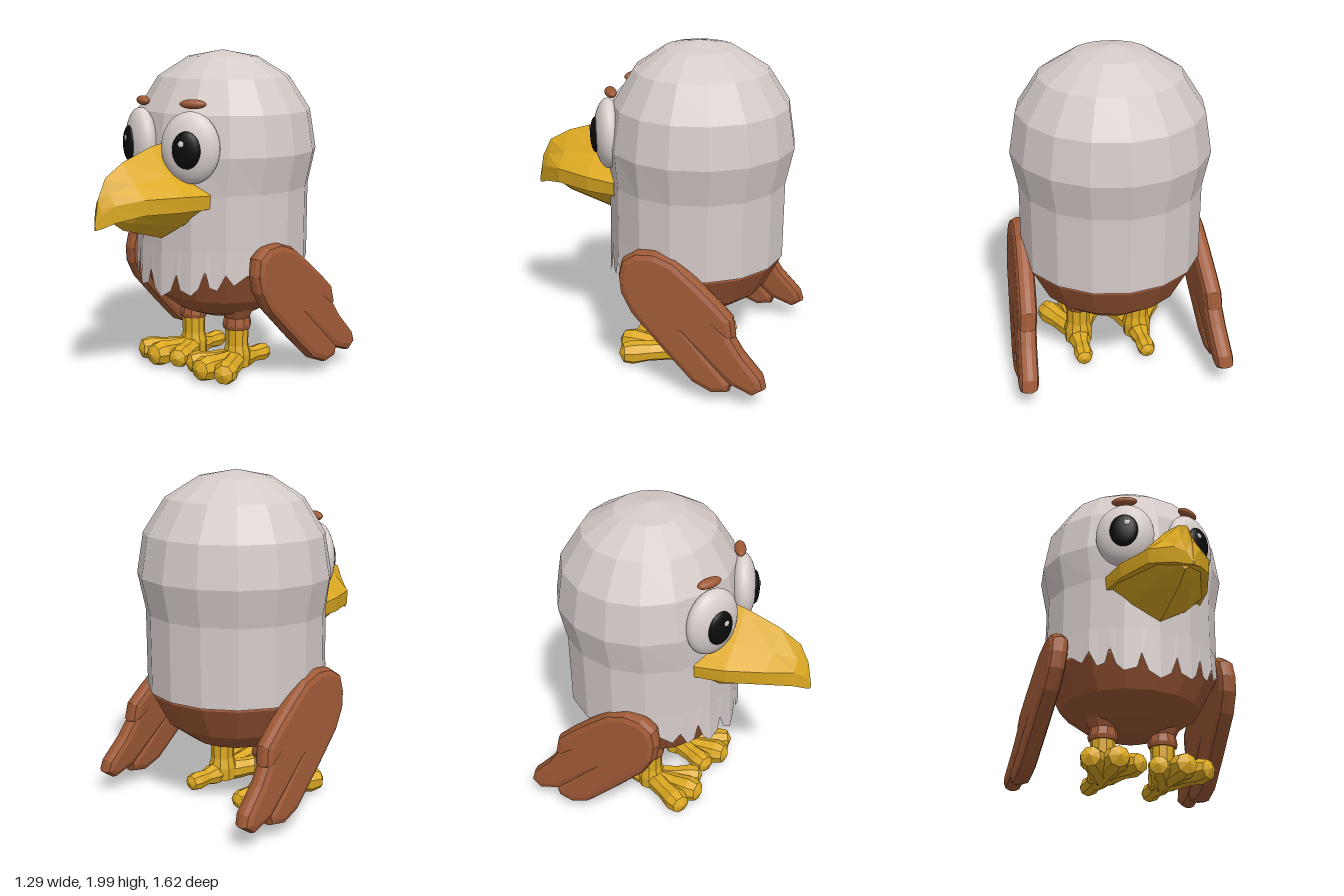
import * as THREE from 'three';

const mat = (name, color) => Object.assign(new THREE.MeshStandardMaterial({ color }), { name });

// Faceted copy of a geometry
function facet(geo) {
  const g = geo.index ? geo.toNonIndexed() : geo;
  g.computeVertexNormals();
  return g;
}

// Skin through equal rings (counter-clockwise seen from +z), capped at both ends
function loft(rings) {
  const n = rings[0].length, m = rings.length, index = [];
  for (let i = 0; i < m - 1; i++) for (let j = 0; j < n; j++) {
    const a = i * n + j, b = i * n + (j + 1) % n;
    index.push(a, b, b + n, a, b + n, a + n);
  }
  const e = (m - 1) * n;
  for (let j = 1; j < n - 1; j++) index.push(0, j + 1, j, e, e + j, e + j + 1);
  const g = new THREE.BufferGeometry();
  g.setAttribute('position', new THREE.Float32BufferAttribute(rings.flat(2), 3));
  g.setIndex(index);
  return facet(g);
}

const BODY_Z = -0.22;
const flatten = y => (y > 1.3 ? 0.9 : 0.96); // the face is a little flatter than the back

// Sixteen-sided turned body with the front flattened
function turned(profile) {
  const g = new THREE.LatheGeometry(profile.map(p => new THREE.Vector2(...p)), 16);
  const p = g.attributes.position;
  for (let i = 0; i < p.count; i++) {
    const z = p.getZ(i);
    p.setZ(i, (z > 0 ? z * flatten(p.getY(i)) : z) + BODY_Z);
  }
  return facet(g);
}

// Ragged feather edge following the front facets
function fringeGeometry() {
  const half = [[0, .54], [.07, .585], [.11, .69], [.135, .60], [.21, .575], [.25, .62], [.283, .73],
    [.305, .63], [.345, .615], [.387, .71], [.415, .645], [.46, .70], [.506, .70]];
  const keys = [...half.slice(1).reverse().map(([x, y]) => [-x, y]), ...half];
  const r = 0.548, step = Math.PI / 8;
  const zAt = x => {
    const k = Math.min(2, Math.floor(Math.asin(Math.min(1, Math.abs(x) / r)) / step + 1e-3));
    const a = k * step, b = a + step;
    const t = (Math.abs(x) / r - Math.sin(a)) / (Math.sin(b) - Math.sin(a));
    return BODY_Z + 0.96 * r * (Math.cos(a) + t * (Math.cos(b) - Math.cos(a)));
  };
  const pos = [], index = [];
  keys.forEach(([x, y], i) => {
    pos.push(x, y, zAt(x), x, 0.85, zAt(x) - 0.008);
    if (i) index.push(2 * i - 2, 2 * i, 2 * i + 1, 2 * i - 2, 2 * i + 1, 2 * i - 1);
  });
  const g = new THREE.BufferGeometry();
  g.setAttribute('position', new THREE.Float32BufferAttribute(pos, 3));
  g.setIndex(index);
  return facet(g);
}

// One wing lobe from a side outline of [z, y] points, leaning outward toward the bottom
function lobeGeometry(outline, side) {
  const shape = new THREE.Shape(outline.map(([z, y]) => new THREE.Vector2(-z, y)));
  const g = new THREE.ExtrudeGeometry(shape, {
    depth: 0.03, bevelThickness: 0.04, bevelSize: 0.04, bevelOffset: -0.04, bevelSegments: 2, steps: 1
  });
  g.translate(0, 0, -0.015);
  g.rotateY(Math.PI / 2);
  const p = g.attributes.position;
  for (let i = 0; i < p.count; i++) {
    const y = p.getY(i);
    p.setX(i, p.getX(i) + side * (0.525 + (0.88 - y) * 0.085));
  }
  return facet(g);
}

const WING_LOBES = {
  upperFeather: [[.085, .72], [.065, .82], [-.02, .875], [-.13, .885], [-.25, .845], [-.38, .745], [-.5, .645],
    [-.6, .55], [-.62, .44], [-.57, .41], [-.3, .6], [-.1, .45], [.05, .6]],
  middleFeather: [[0, .75], [-.25, .76], [-.37, .68], [-.59, .47], [-.67, .35], [-.79, .22], [-.81, .15],
    [-.74, .1], [-.6, .15], [-.3, .41], [-.1, .45]],
  lowerFeather: [[.085, .72], [.07, .62], [0, .5], [-.2, .3], [-.38, .13], [-.5, .08], [-.6, .1],
    [-.62, .16], [-.3, .5], [-.1, .75]]
};

export function createModel() {
  const root = new THREE.Group();
  root.name = 'bird';
  const white = mat('head feathers', 0xd5cbc9), brown = mat('brown feathers', 0x9e5936);
  const yellow = mat('beak and feet', 0xdca922), eyeWhite = mat('eye white', 0xdad0ce);
  const black = mat('pupil', 0x0b0b0b);
  const edge = mat('feather edge', 0xd5cbc9);
  edge.side = THREE.DoubleSide;

  const add = (parent, name, geo, material) => {
    const m = new THREE.Mesh(geo, material);
    m.name = name;
    parent.add(m);
    return m;
  };
  const group = (name, parent = root) => {
    const g = new THREE.Group();
    g.name = name;
    parent.add(g);
    return g;
  };
  const ellipsoid = (a, b, c) => new THREE.SphereGeometry(1, 28, 18).scale(a, b, c);

  // Head and lower body
  add(root, 'head', turned([[.5, .71], [.54, .715], [.54, 1.18], [.585, 1.4], [.545, 1.64],
    [.415, 1.84], [.22, 1.96], [0, 2]]), white);
  add(root, 'lowerBody', turned([[0, .33], [.13, .345], [.28, .4], [.43, .51], [.53, .70], [.525, .75]]), brown);
  add(root, 'featherFringe', fringeGeometry(), edge);

  // Beak: [z, half width, top, side, bottom] and [z, half width, top, bottom]
  const upper = [[.2, .31, 1.48, 1.18, 1.1], [.38, .28, 1.455, 1.19, 1.1], [.6, .19, 1.385, 1.19, 1.1],
    [.73, .08, 1.31, 1.16, 1.06], [.785, .03, 1.2, 1.11, 1.03], [.81, .004, 1.06, 1.04, 1.02]];
  add(root, 'upperBeak', loft(upper.map(([z, w, t, s, b]) => {
    const m = s + (t - s) * 0.4;
    return [[0, b, z], [w * .97, b, z], [w, s, z], [w * .5, m, z], [0, t, z],
      [-w * .5, m, z], [-w, s, z], [-w * .97, b, z]];
  })), yellow);
  const lower = [[.22, .28, 1.11, .93], [.3, .28, 1.11, .9], [.45, .21, 1.11, .945],
    [.6, .14, 1.11, .99], [.69, .04, 1.09, 1.05]];
  add(root, 'lowerBeak', loft(lower.map(([z, w, t, b]) => {
    const m = b + (t - b) * 0.45;
    return [[0, b, z], [w * .6, m, z], [w, t, z], [-w, t, z], [-w * .6, m, z]];
  })), yellow);

  for (const s of [1, -1]) {
    const label = s > 0 ? 'left' : 'right';

    // Eye and brow
    const eye = group(label + 'Eye');
    eye.position.set(s * 0.21, 1.455, 0.265);
    eye.rotation.y = s * 0.44;
    add(eye, 'eyeball', ellipsoid(.178, .21, .085), eyeWhite);
    add(eye, 'pupil', ellipsoid(.086, .108, .033), black).position.set(0, -.005, .073);
    add(eye, 'eyeHighlight', ellipsoid(.018, .018, .006), eyeWhite).position.set(-s * .022, .033, .104);
    const brow = add(root, label + 'Brow', ellipsoid(.08, .028, .035), brown);
    brow.position.set(s * 0.21, 1.705, 0.245);
    brow.rotation.y = s * 0.48;

    // Wing
    const wing = group(label + 'Wing');
    for (const [name, outline] of Object.entries(WING_LOBES)) add(wing, name, lobeGeometry(outline, s), brown);

    // Leg and foot
    const leg = group(label + 'Leg');
    const legX = s * 0.19, legZ = -0.165;
    const turn = (pts, n) => facet(new THREE.LatheGeometry(pts.map(p => new THREE.Vector2(...p)), n));
    add(leg, 'thigh', turn([[0, .285], [.085, .285], [.092, .31], [.082, .36], [.115, .43], [.12, .5]], 10), brown)
      .position.set(legX, 0, legZ);
    add(leg, 'shin', turn([[0, .03], [.085, .04], [.088, .12], [.073, .18], [.075, .3]], 10), yellow)
      .position.set(legX, 0, legZ);
    const toes = { middleToe: [.205, .095, .21, .08], outerToe: [.37, .09, .16, .075],
      innerToe: [.045, .09, .14, .07], backToe: [.2, .07, -.45, .058] };
    for (const [name, [x, y, z, r]] of Object.entries(toes)) {
      const start = new THREE.Vector3(legX, .08, legZ);
      const dir = new THREE.Vector3(s * x, y, z).sub(start);
      const L = dir.length();
      const toe = add(leg, name, turn([[0, -.05], [.065, -.02], [.066, L * .3], [r * .85, L * .5],
        [r, L - r * 1.1], [r * .8, L - r * .35], [0, L]], 8), yellow);
      toe.position.copy(start);
      toe.quaternion.setFromUnitVectors(new THREE.Vector3(0, 1, 0), dir.normalize());
    }
  }
  return root;
}
